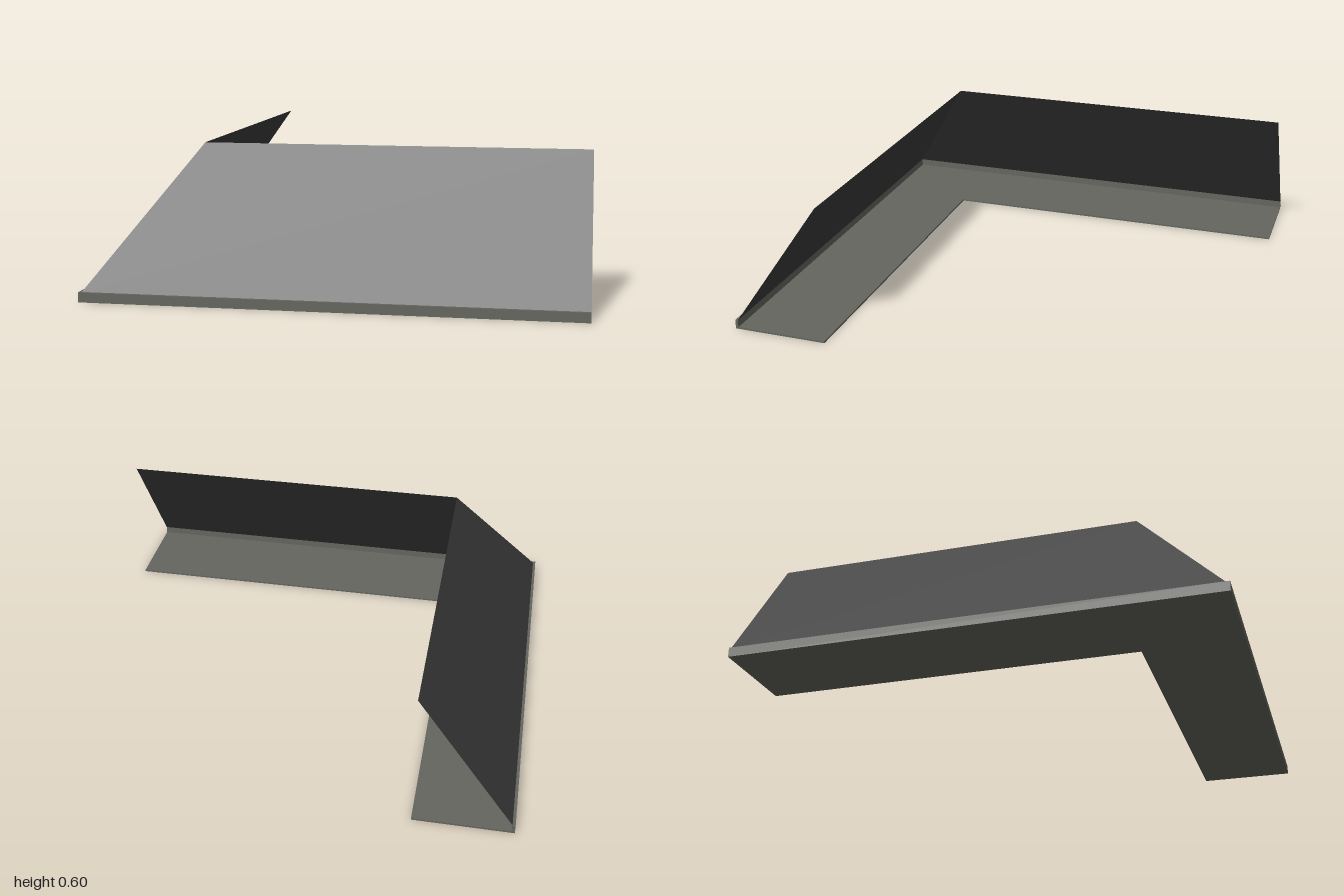
import * as THREE from 'three';

// Sweeps a profile of [inset, height] points along the mitred L-shaped eave.
function sweepCorner(profile, material, name, capped = false) {
  const positions = [];
  const stations = ([d, y]) => [[1, y, 1 - d], [-1 + d, y, 1 - d], [-1 + d, y, -1]];
  const quad = (a, b, c, d) => positions.push(...a, ...b, ...c, ...a, ...c, ...d);
  for (let i = 0; i < profile.length - 1; i++) {
    const p = stations(profile[i]);
    const q = stations(profile[i + 1]);
    for (let s = 0; s < 2; s++) quad(p[s + 1], p[s], q[s], q[s + 1]);
  }
  // Flat ends for closed four-cornered profiles
  if (capped) {
    const corners = profile.slice(0, 4).map(stations);
    quad(...corners.map(c => c[0]));
    quad(...corners.map(c => c[2]).reverse());
  }
  const geometry = new THREE.BufferGeometry();
  geometry.setAttribute('position', new THREE.Float32BufferAttribute(positions, 3));
  geometry.computeVertexNormals();
  const mesh = new THREE.Mesh(geometry, material);
  mesh.name = name;
  return mesh;
}

export function createModel() {
  const roofMaterial = new THREE.MeshStandardMaterial({ color: 0x3e3e3e, side: THREE.DoubleSide });
  roofMaterial.name = 'charcoal roofing';
  const trimMaterial = new THREE.MeshStandardMaterial({ color: 0x666660, side: THREE.DoubleSide });
  trimMaterial.name = 'warm grey trim';

  const model = new THREE.Group();
  model.name = 'roofCorner';

  // Sloping roof sheets meeting at the hip
  model.add(sweepCorner([[0.012, 0.04], [0.41, 0.6]], roofMaterial, 'roofSlopes'));

  // Narrow upright board along the outer edge
  model.add(sweepCorner(
    [[0, 0], [0, 0.04], [0.012, 0.04], [0.012, 0], [0, 0]], trimMaterial, 'fascia', true));

  // Thin horizontal panel below the eave
  model.add(sweepCorner(
    [[0.012, 0], [0.012, 0.008], [0.41, 0.008], [0.41, 0], [0.012, 0]], trimMaterial, 'soffit', true));

  return model;
}
